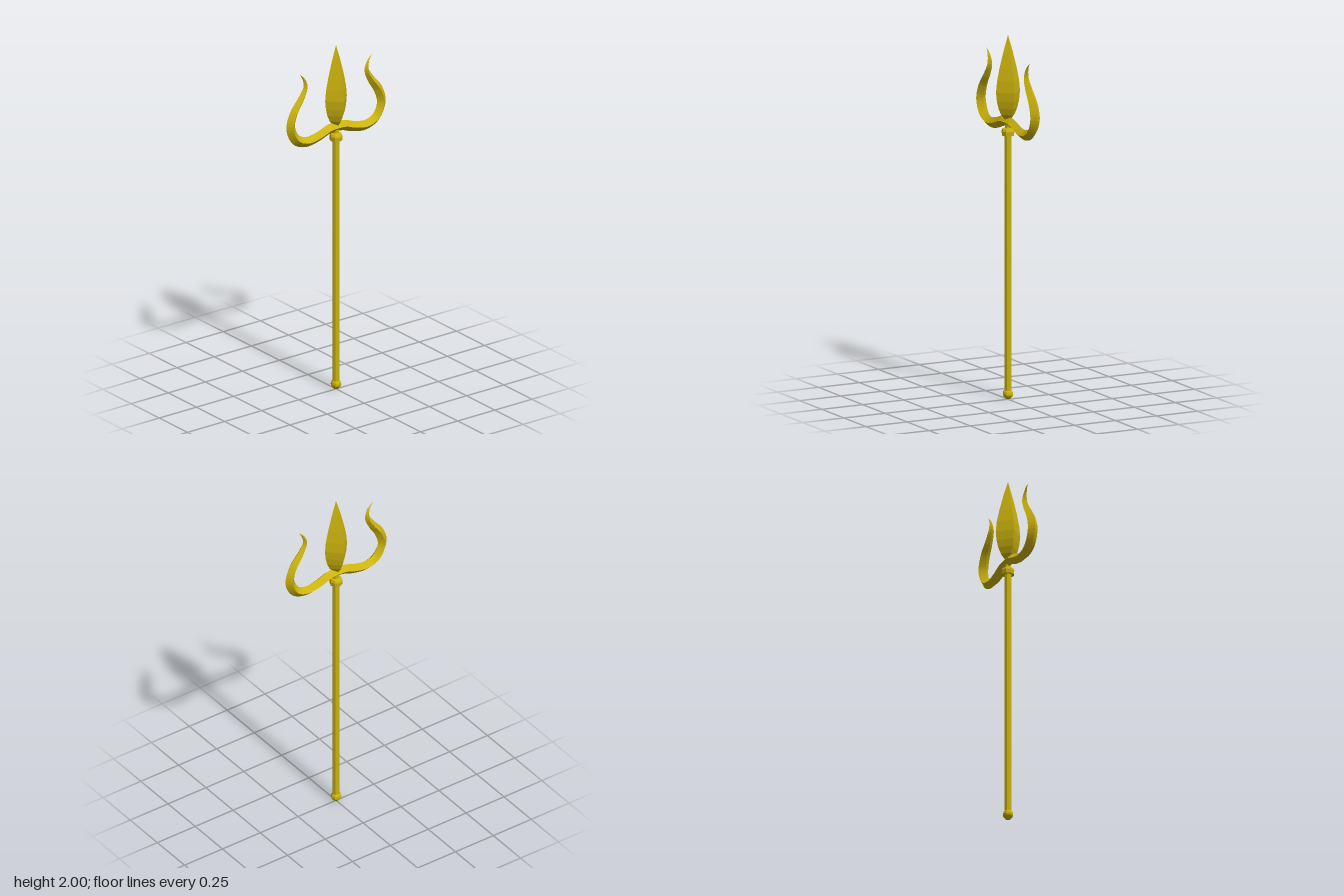
import * as THREE from 'three';

const gold = new THREE.MeshStandardMaterial({ color: 0xccb30d, flatShading: true });

function part(name, geometry) {
  const mesh = new THREE.Mesh(geometry, gold);
  mesh.name = name;
  return mesh;
}

// Faceted turned part; profile runs from bottom to top as [radius, y]
function turned(name, profile, sides) {
  return part(name, new THREE.LatheGeometry(profile.map(p => new THREE.Vector2(...p)), sides));
}

// Curved side prong: a diamond section swept along a spline, tapering to a point
function prong(name, side) {
  const path = new THREE.CatmullRomCurve3([
    [0, 1.525], [0.05, 1.521], [0.12, 1.497], [0.2, 1.486], [0.268, 1.514], [0.305, 1.592],
    [0.284, 1.672], [0.236, 1.742], [0.206, 1.802], [0.215, 1.85], [0.243, 1.887],
  ].map(([x, y]) => new THREE.Vector3(side * x, y, 0)));
  const steps = 44, positions = [], index = [];
  for (let i = 0; i <= steps; i++) {
    const u = i / steps;
    const p = path.getPointAt(u), t = path.getTangentAt(u);
    const taper = Math.max(0, (u - 0.5) / 0.5);
    const r = 0.029 * (1 - Math.pow(taper, 2.2));
    const n = new THREE.Vector3(-t.y, t.x, 0).normalize();
    for (const [a, b] of [[1, 0], [0, 1], [-1, 0], [0, -1]]) {
      positions.push(p.x + n.x * a * r, p.y + n.y * a * r, b * r);
    }
    if (i === steps) break;
    for (let j = 0; j < 4; j++) {
      const a = i * 4 + j, b = i * 4 + (j + 1) % 4;
      index.push(a, b, b + 4, a, b + 4, a + 4);
    }
  }
  const geometry = new THREE.BufferGeometry();
  geometry.setAttribute('position', new THREE.Float32BufferAttribute(positions, 3));
  geometry.setIndex(index);
  geometry.computeVertexNormals();
  return part(name, geometry);
}

export function createModel() {
  const model = new THREE.Group();
  model.name = 'trident';

  // Shaft with rounded end knob
  const shaft = part('shaft', new THREE.CylinderGeometry(0.02, 0.02, 1.42, 8));
  shaft.position.y = 0.75;
  model.add(shaft);
  model.add(turned('endKnob', [
    [0, 0.005], [0.016, 0.008], [0.027, 0.02], [0.029, 0.03], [0.027, 0.042], [0.018, 0.053], [0, 0.055],
  ], 8));

  // Collar and neck under the head
  model.add(turned('collar', [
    [0, 1.448], [0.034, 1.448], [0.036, 1.472], [0.03, 1.485], [0.017, 1.49], [0.015, 1.53], [0, 1.53],
  ], 8));

  // Four-sided spear blade
  model.add(turned('centreBlade', [
    [0, 1.515], [0.014, 1.53], [0.042, 1.565], [0.058, 1.6], [0.068, 1.64], [0.073, 1.69],
    [0.067, 1.75], [0.052, 1.82], [0.028, 1.91], [0, 2],
  ], 4));

  // Mirrored prongs
  model.add(prong('leftProng', 1), prong('rightProng', -1));

  // Foot of the knob rests on the ground
  turnedFoot(model);
  return model;
}

// Small tip closing the knob down to y = 0
function turnedFoot(model) {
  model.add(turned('knobTip', [[0, 0], [0.012, 0.003], [0.018, 0.01], [0, 0.012]], 8));
}
